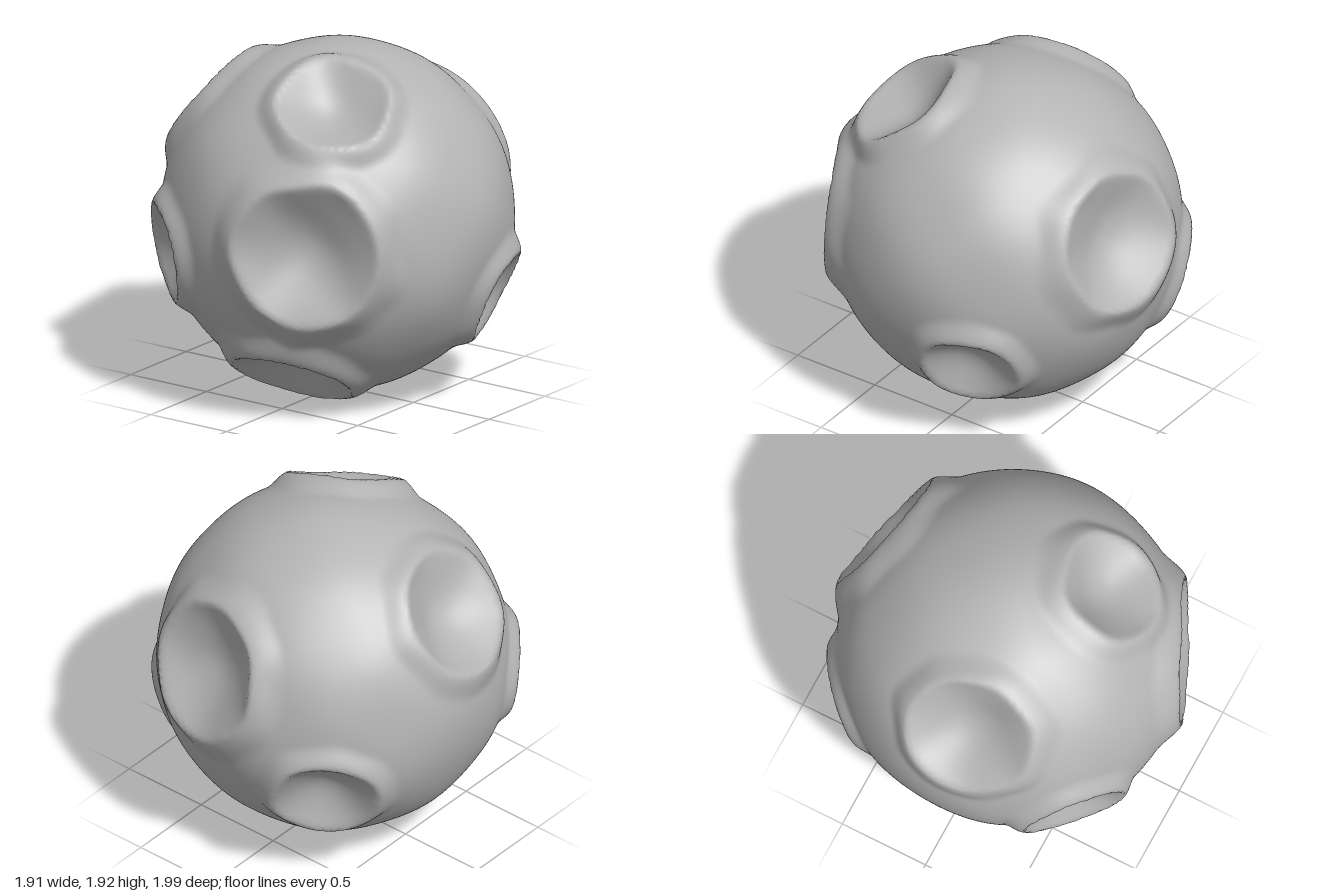
import * as THREE from 'three';
import { mergeVertices } from 'three/addons/utils/BufferGeometryUtils.js';

const RADIUS = 0.945;
const CENTRE_Y = 0.965;
const RIM = 0.05;

// Craters: direction from the centre, rim radius
const CRATERS = [
  [0.40, 0.04, 0.85, 0.38],
  [-0.62, -0.16, 0.70, 0.26],
  [0.07, -0.78, 0.50, 0.32],
  [0.30, 0.80, 0.45, 0.29],
  [-0.78, 0.58, 0.13, 0.33],
  [0.80, -0.39, -0.32, 0.25],
  [0.18, 0.29, -0.90, 0.36],
  [-0.54, -0.32, -0.71, 0.27],
].map(([x, y, z, r]) => ({ dir: new THREE.Vector3(x, y, z).normalize(), r }));

// Gentle unevenness so that rims and ground are not perfectly regular
function ripple(d, f) {
  return Math.sin(d.x * f + 1.3) * Math.sin(d.y * f + 0.4) * Math.sin(d.z * f + 2.1);
}

// Height above the ball: raised rim outside, parabolic bowl inside
function craterHeight(d, { dir, r }) {
  const t = (d.distanceTo(dir) * RADIUS) / (r * (1 + 0.06 * ripple(d, 11)));
  if (t < 1) return RIM - 0.6 * r * (1 - t * t);
  if (t > 1.5) return 0;
  const k = (1.5 - t) / 0.5;
  return RIM * k * k * (3 - 2 * k);
}

function crateredBall() {
  let geo = new THREE.IcosahedronGeometry(1, 48);
  geo.deleteAttribute('normal');
  geo.deleteAttribute('uv');
  geo = mergeVertices(geo, 1e-4);
  const pos = geo.attributes.position;
  const d = new THREE.Vector3();
  for (let i = 0; i < pos.count; i++) {
    d.fromBufferAttribute(pos, i).normalize();
    let h = RADIUS + 0.008 * ripple(d, 7);
    for (const c of CRATERS) h += craterHeight(d, c);
    pos.setXYZ(i, d.x * h, d.y * h, d.z * h);
  }
  geo.computeVertexNormals();
  return geo;
}

export function createModel() {
  const group = new THREE.Group();
  group.name = 'crateredMoon';
  const rock = new THREE.MeshStandardMaterial({ color: 0xb4b4b4 });
  rock.name = 'grey rock';
  const moon = new THREE.Mesh(crateredBall(), rock);
  moon.name = 'moonSurface';
  // Stand the ball on the ground
  moon.geometry.computeBoundingBox();
  moon.position.y = Math.min(CENTRE_Y, -moon.geometry.boundingBox.min.y);
  group.add(moon);
  return group;
}
